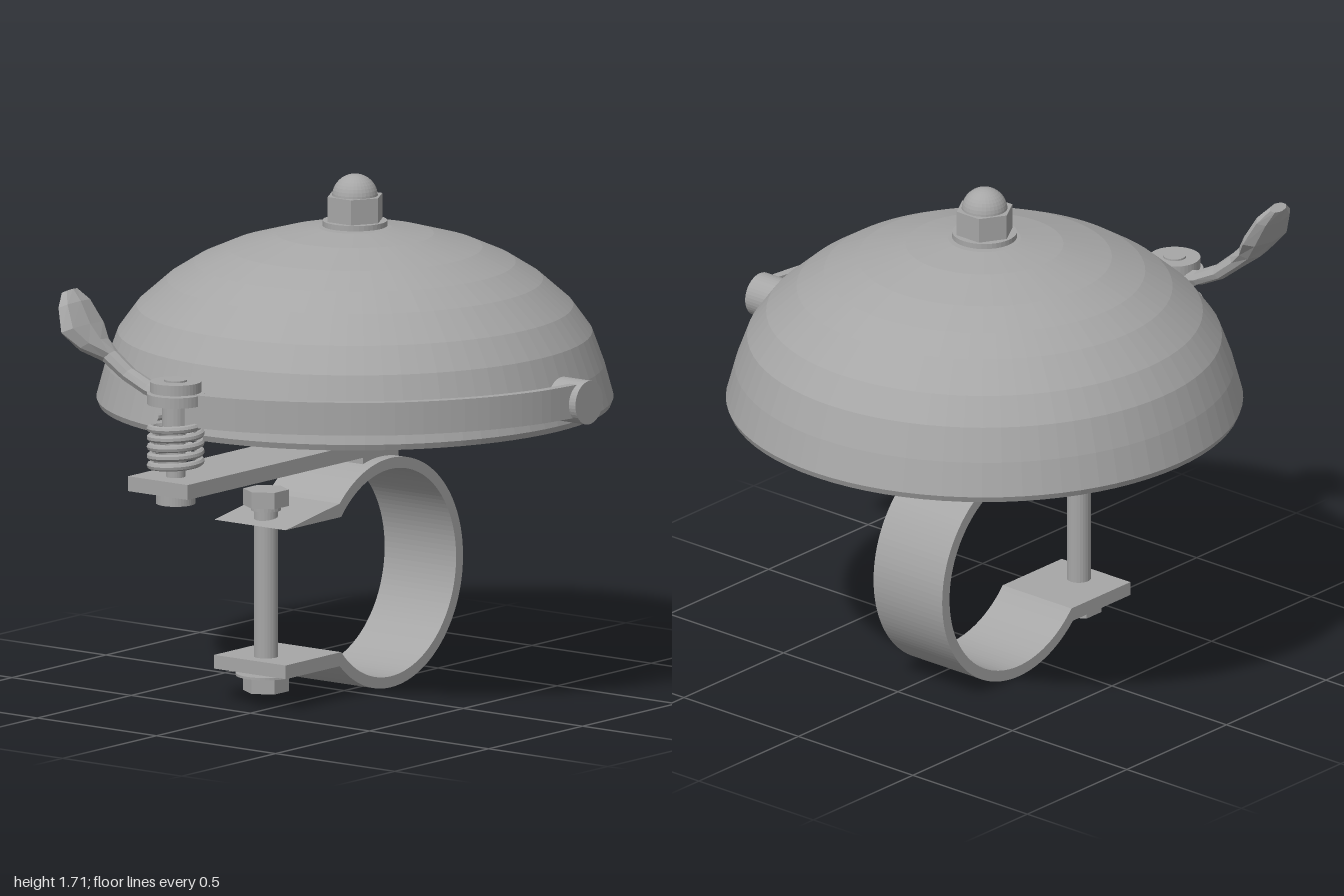
import * as THREE from 'three';

const steel = new THREE.MeshStandardMaterial({ color: 0xa6a6a6, flatShading: true });
steel.name = 'steel';

const CX = 0.14, CZ = -0.065;   // bell axis
const PX = -0.815;              // lever pivot
const BX = -0.334;              // clamp bolt

export function createModel() {
  const group = new THREE.Group();

  function add(name, geometry, x = 0, y = 0, z = 0) {
    const mesh = new THREE.Mesh(geometry, steel);
    mesh.name = name;
    mesh.position.set(x, y, z);
    group.add(mesh);
    return mesh;
  }
  // upright cylinder or prism between two heights
  function post(name, x, z, r, y0, y1, sides = 40, turn = 0) {
    const g = new THREE.CylinderGeometry(r, r, y1 - y0, sides);
    g.rotateY(turn);
    return add(name, g, x, (y0 + y1) / 2, z);
  }

  // Bell shell: inner wall up, around the rim, outer wall back to the crown
  const outer = [[0.853, 0.965], [0.823, 1.076], [0.783, 1.185], [0.72, 1.272], [0.62, 1.36],
    [0.53, 1.417], [0.42, 1.466], [0.26, 1.512], [0.12, 1.533], [0, 1.536]];
  const profile = [...outer].reverse().map(([r, y]) => [r * 0.972, y - 0.02]);
  profile.push([0.828, 0.945], [0.845, 0.945], ...outer);
  add('bell', new THREE.LatheGeometry(profile.map(p => new THREE.Vector2(...p)), 80), CX, 0, CZ);

  // Bell mount: post, washer, hex nut and domed cap
  post('bellPost', CX, CZ, 0.072, 0.83, 1.54);
  post('crownWasher', CX, CZ, 0.107, 1.538, 1.556);
  post('crownNut', CX, CZ, 0.097, 1.55, 1.64, 6);
  add('crownCap', new THREE.SphereGeometry(0.076, 32, 10, 0, Math.PI * 2, 0, Math.PI / 2), CX, 1.635, CZ);

  // Base plate and spacer
  add('basePlate', new THREE.BoxGeometry(1.24, 0.05, 0.25), -0.29, 0.815, CZ);
  add('plateSpacer', new THREE.BoxGeometry(0.19, 0.035, 0.215), CX, 0.777, CZ);

  // Handlebar clamp: open ring with two flat ears
  const cy = 0.39, ro = 0.385, ri = 0.348, ao = Math.PI - 0.788, ai = Math.PI - 0.71;
  const ring = new THREE.Shape();
  ring.moveTo(-0.42, 0.663);
  ring.absarc(CX, cy, ro, ao, -ao, true);
  ring.lineTo(-0.42, 0.117);
  ring.lineTo(-0.42, 0.163);
  ring.absarc(CX, cy, ri, -ai, ai, false);
  ring.lineTo(-0.42, 0.617);
  ring.closePath();
  add('clamp', new THREE.ExtrudeGeometry(ring, { depth: 0.3, bevelEnabled: false, curveSegments: 48 }), 0, 0, CZ - 0.15);

  // Clamp bolt
  post('clampBoltShaft', BX, CZ, 0.04, 0.07, 0.69, 24);
  post('clampBoltCollar', BX, CZ, 0.05, 0.655, 0.675, 24);
  post('clampBoltHead', BX, CZ, 0.076, 0.67, 0.725, 6, Math.PI / 6);
  post('clampWasher', BX, CZ, 0.1, 0.101, 0.109);
  post('clampNut', BX, CZ, 0.076, 0.048, 0.101, 6, Math.PI / 6);

  // Lever pivot
  post('pivotShaft', PX, CZ, 0.032, 0.77, 1.15, 24);
  post('pivotFoot', PX, CZ, 0.065, 0.75, 0.785);
  post('pivotHub', PX, CZ, 0.045, 1.01, 1.1, 24);
  post('springDisc', PX, CZ, 0.095, 1.085, 1.12);
  post('pivotCap', PX, CZ, 0.085, 1.125, 1.16);
  post('pivotRivet', PX, CZ, 0.038, 1.15, 1.166, 24);

  // Return spring with its tail reaching the anchor screw
  const AX = -0.70, AZ = -0.15;
  const coil = [new THREE.Vector3(AX, 0.857, AZ)];
  const turns = 5, steps = 16;
  for (let i = 0; i <= turns * steps; i++) {
    const a = 1.57 + i / steps * Math.PI * 2;
    coil.push(new THREE.Vector3(PX + 0.083 * Math.cos(a), 0.875 + 0.155 * i / (turns * steps), CZ - 0.083 * Math.sin(a)));
  }
  add('spring', new THREE.TubeGeometry(new THREE.CatmullRomCurve3(coil), 320, 0.013, 8));
  post('springAnchor', AX, AZ, 0.018, 0.83, 0.865, 16);
  post('springAnchorHead', AX, AZ, 0.032, 0.848, 0.868, 16);

  // Striker arm: curved flat strip, offset to both sides of its path
  const path = new THREE.CatmullRomCurve3([[-0.812, -0.065], [-0.80, 0.04], [-0.76, 0.20], [-0.665, 0.39],
    [-0.505, 0.60], [-0.29, 0.76], [-0.075, 0.85], [0.14, 0.885]].map(([x, z]) => new THREE.Vector3(x, -z, 0)));
  const sides = [[], []];
  for (let i = 0; i <= 40; i++) {
    const p = path.getPoint(i / 40), t = path.getTangent(i / 40);
    sides[0].push(new THREE.Vector2(p.x - t.y * 0.015, p.y + t.x * 0.015));
    sides[1].unshift(new THREE.Vector2(p.x + t.y * 0.015, p.y - t.x * 0.015));
  }
  const strip = new THREE.ExtrudeGeometry(new THREE.Shape([...sides[0], ...sides[1]]), { depth: 0.11, bevelEnabled: false });
  strip.rotateX(-Math.PI / 2);
  add('strikerArm', strip, 0, 1.013, 0);

  // Striker head
  const head = new THREE.CylinderGeometry(0.073, 0.073, 0.115, 40);
  head.rotateX(Math.PI / 2);
  add('strikerHead', head, CX, 1.06, 0.86);

  // Thumb lever: eight-sided sections [x, y, z, half width, half thickness]
  add('thumbLever', loft([
    [-0.805, 1.10, -0.10, 0.035, 0.025], [-0.807, 1.12, -0.18, 0.034, 0.025],
    [-0.818, 1.16, -0.26, 0.031, 0.026], [-0.833, 1.215, -0.325, 0.034, 0.028],
    [-0.868, 1.255, -0.365, 0.075, 0.034], [-0.885, 1.31, -0.40, 0.114, 0.036],
    [-0.885, 1.385, -0.435, 0.085, 0.03], [-0.88, 1.425, -0.46, 0.04, 0.018],
  ], 8));

  return group;
}

// Skin across sections, each square to the run in the yz plane, capped at both ends
function loft(sections, n) {
  const pos = [], idx = [], last = sections.length - 1;
  sections.forEach(([x, y, z, w, t], i) => {
    const a = sections[Math.max(i - 1, 0)], b = sections[Math.min(i + 1, last)];
    const dy = b[1] - a[1], dz = b[2] - a[2], len = Math.hypot(dy, dz);
    for (let k = 0; k < n; k++) {
      const c = Math.cos(k / n * Math.PI * 2) * w, s = Math.sin(k / n * Math.PI * 2) * t;
      pos.push(x + c, y + s * dz / len, z - s * dy / len);
    }
  });
  for (let i = 0; i < last; i++) {
    for (let k = 0; k < n; k++) {
      const a = i * n + k, b = i * n + (k + 1) % n;
      idx.push(a, b, b + n, a, b + n, a + n);
    }
  }
  for (let k = 1; k < n - 1; k++) {
    idx.push(0, k + 1, k, last * n, last * n + k, last * n + k + 1);
  }
  const g = new THREE.BufferGeometry();
  g.setAttribute('position', new THREE.Float32BufferAttribute(pos, 3));
  g.setIndex(idx);
  g.computeVertexNormals();
  return g;
}
